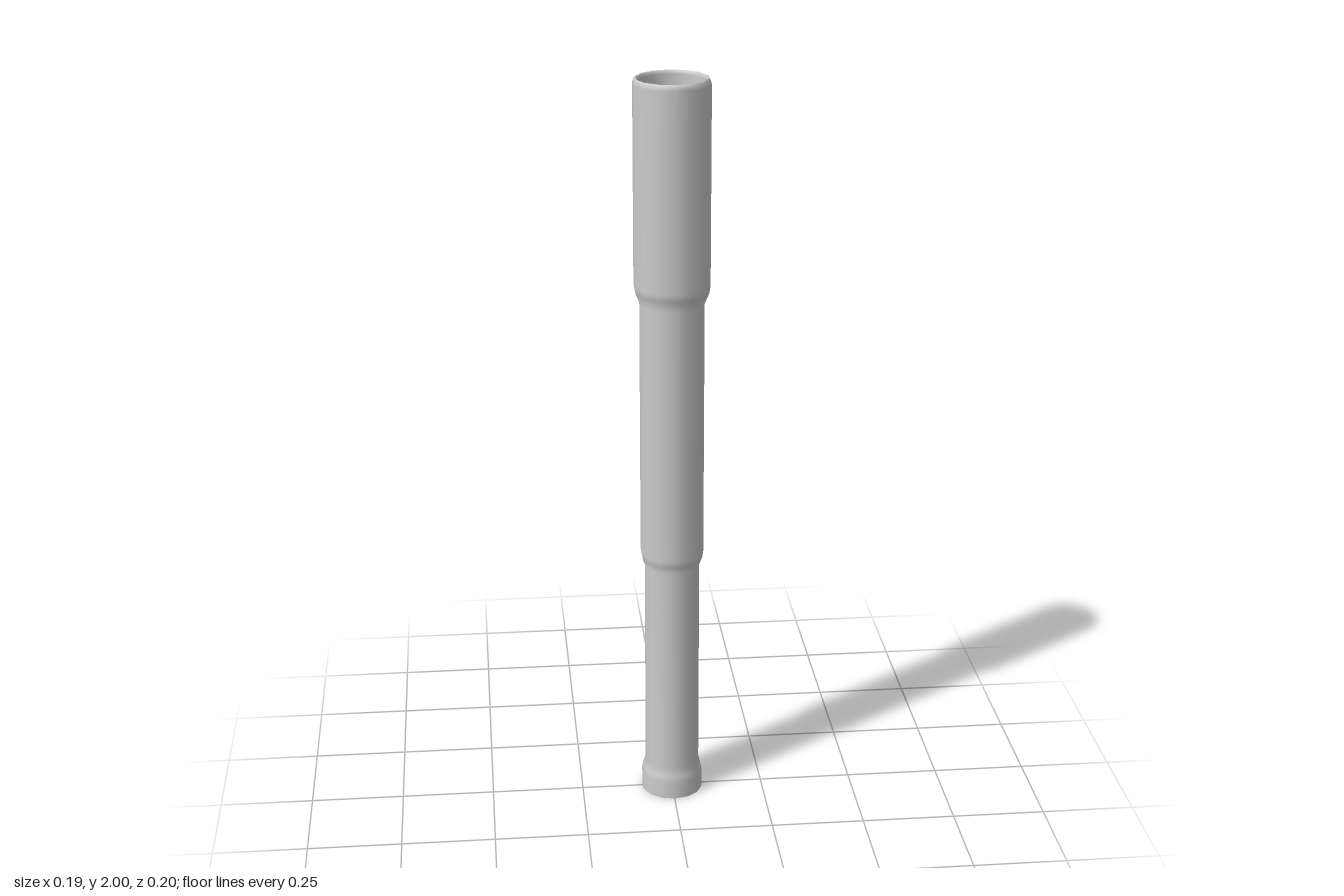
import * as THREE from 'three';

const SIDES = 14;

// Revolve a [radius, height] profile around the y axis
function revolve(name, profile, material) {
  const points = profile.map(([r, y]) => new THREE.Vector2(r, y));
  const mesh = new THREE.Mesh(new THREE.LatheGeometry(points, SIDES), material);
  mesh.name = name;
  return mesh;
}

export function createModel() {
  const group = new THREE.Group();
  group.name = 'steppedTube';
  const material = new THREE.MeshStandardMaterial({ color: 0xcccccc, side: THREE.DoubleSide });

  // Open-ended outer wall: flared foot, then three widening sections, rounded at the mouth
  group.add(revolve('outerWall', [
    [0.084, 0], [0.084, 0.05], [0.081, 0.065], [0.074, 0.09],
    [0.074, 0.68], [0.082, 0.70], [0.085, 0.72],
    [0.085, 1.415], [0.097, 1.445], [0.1, 1.465],
    [0.1, 1.985], [0.097, 1.996], [0.093, 2],
  ], material));

  // Rim and inner lining of the wide top section
  group.add(revolve('rimAndLining', [
    [0.093, 2], [0.089, 1.998], [0.087, 1.99], [0.086, 1.45], [0.085, 1.415],
  ], material));

  return group;
}
